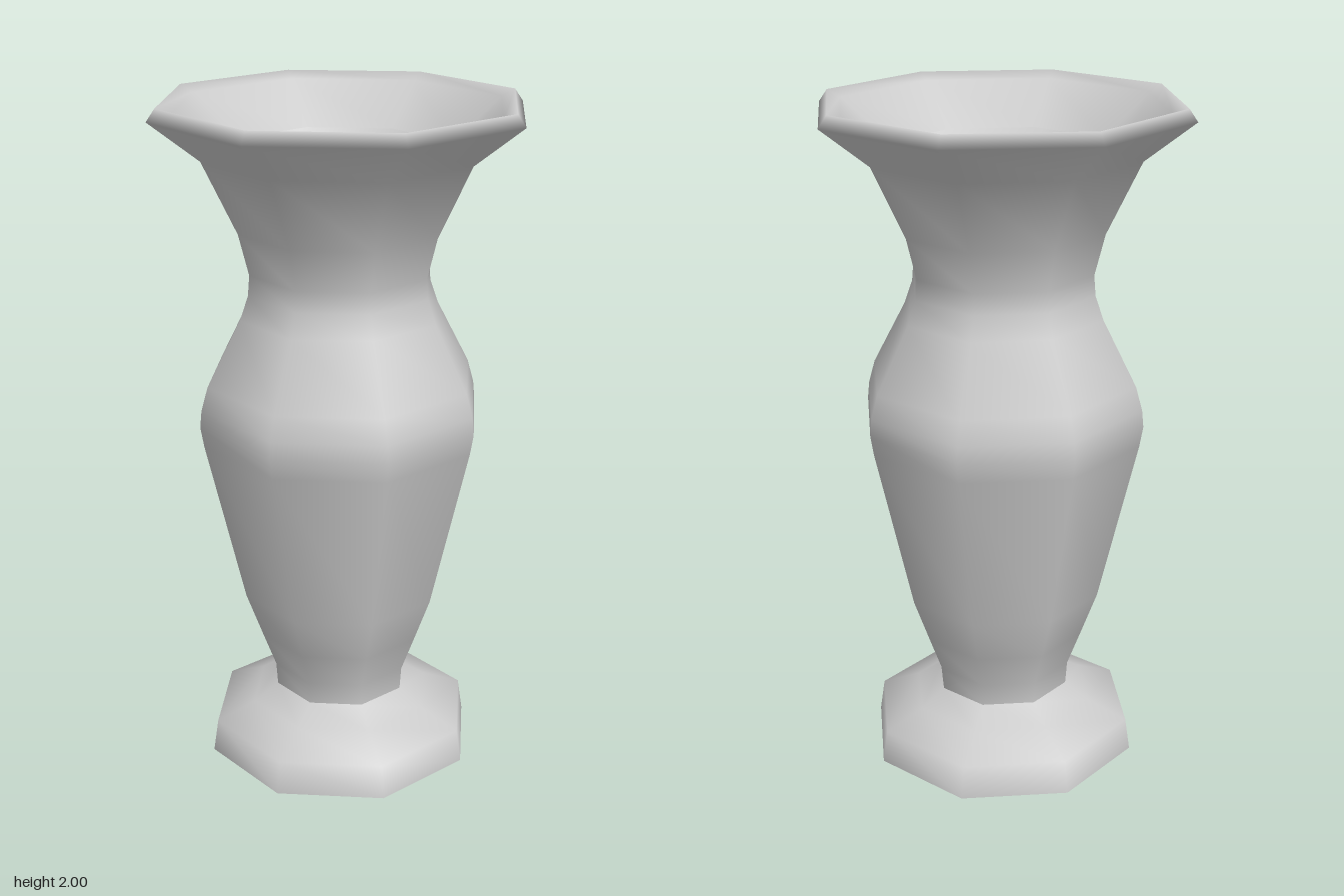
import * as THREE from 'three';

const SIDES = 8;

export function createModel() {
  const group = new THREE.Group();
  group.name = 'vase';
  const material = new THREE.MeshStandardMaterial({ color: 0xcccccc, side: THREE.DoubleSide });

  // Turns a profile of [radius, height] pairs, listed bottom to top on the outside
  const turn = (name, profile) => {
    const points = profile.map(([r, y]) => new THREE.Vector2(r, y));
    const mesh = new THREE.Mesh(new THREE.LatheGeometry(points, SIDES), material);
    mesh.name = name;
    group.add(mesh);
  };

  // Flared foot up to the narrow waist
  turn('foot', [[0.415, 0], [0.4, 0.1], [0.28, 0.15], [0.205, 0.2]]);

  // Belly, neck, flared mouth and the inner slope of the lip
  turn('body', [
    [0.205, 0.2], [0.21, 0.27], [0.25, 0.38], [0.3, 0.52], [0.415, 1.02],
    [0.425, 1.08], [0.42, 1.13], [0.4, 1.2], [0.3, 1.39], [0.275, 1.46],
    [0.27, 1.52], [0.3, 1.64], [0.4, 1.85], [0.545, 1.965], [0.52, 2],
    [0.48, 1.98], [0.333, 1.86],
  ]);

  // Flat underside
  const base = new THREE.Mesh(new THREE.CircleGeometry(0.415, SIDES), material);
  base.name = 'underside';
  base.rotation.x = Math.PI / 2;
  group.add(base);

  return group;
}
